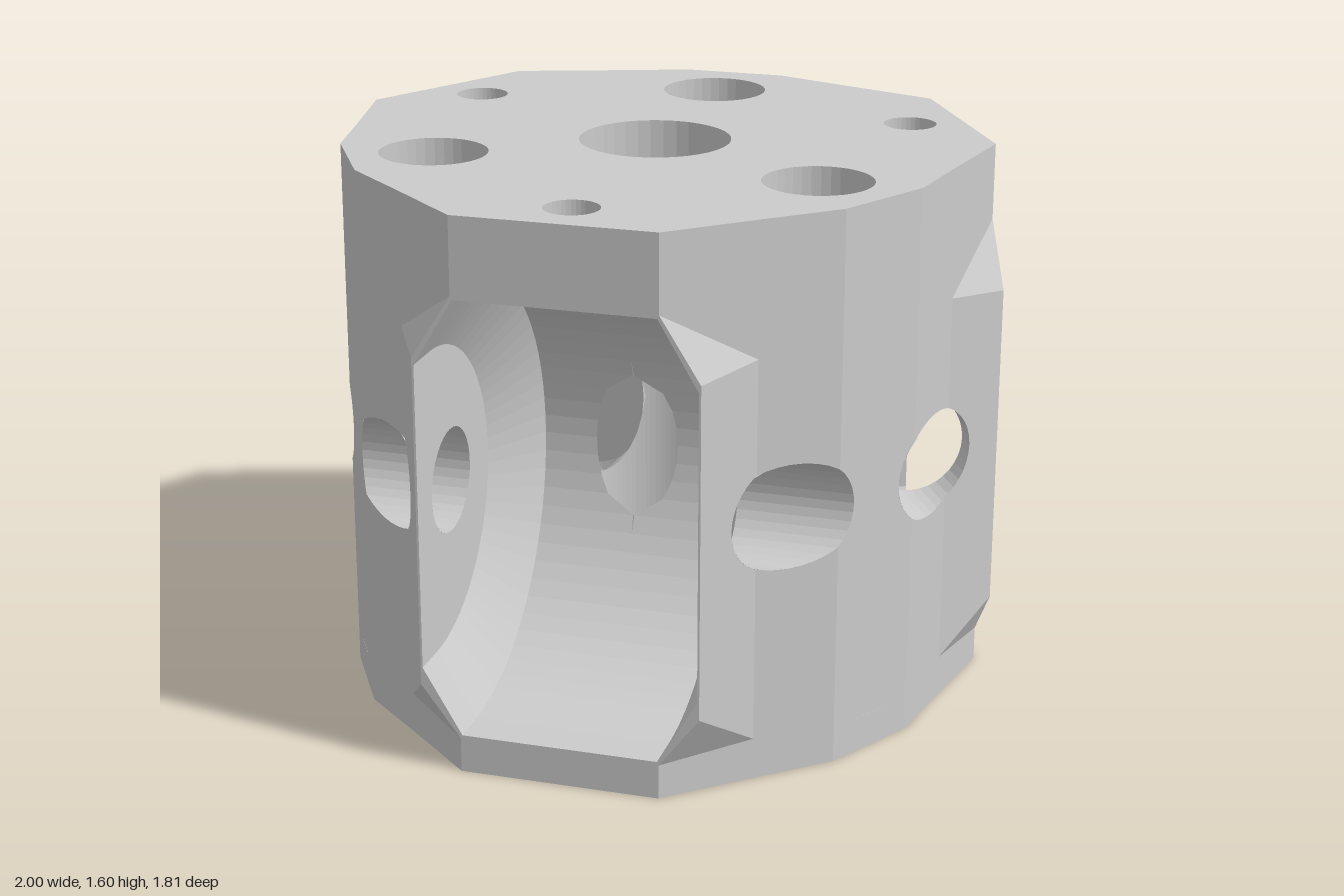
import * as THREE from 'three';

// Block with three wheel pockets. Each pocket is built facing +z, then turned.
// Local points are (t, y, d): t across the pocket, d outward from the centre.
const H = 1.6, LOW = 0.1, TOP = 1.38;            // block height, plate edges
const F = 0.925, FIN = 0.398, FLAT = 0.285;      // pocket mouth
const CY = 0.74, CD = 0.81, R1 = 0.44, R = 0.63; // wheel cavity
const S1 = 0.392, S2 = 0.28;                     // cavity half widths: hub, floor
const AY = 0.76, AD = 0.67, AR = 0.15;           // axle bore
const BORE = 0.218;                              // central bore
const BODY = [0.5, 0.735], LOBE = [0.689, 0.572];
const ANGLES = [Math.PI / 3, Math.PI, -Math.PI / 3];

const mat = new THREE.MeshStandardMaterial({
  color: 0xcccccc, flatShading: true, side: THREE.DoubleSide,
});
const lerp = THREE.MathUtils.lerp;
const half = (r, x) => Math.sqrt(Math.max(0, r * r - x * x));
const span = (n, f) => Array.from({ length: n + 1 }, (_, i) => f(i / n));

// Collects triangles and quads into one mesh
class Surface {
  constructor(name) { this.name = name; this.v = []; }
  tri(a, b, c) { this.v.push(...a, ...b, ...c); }
  quad(a, b, c, d) { this.tri(a, b, c); this.tri(a, c, d); }
  // strip between two rows of points
  loft(p, q) {
    for (let i = 0; i + 1 < p.length; i++) this.quad(p[i], p[i + 1], q[i + 1], q[i]);
  }
  // upright wall with an opening: columns of {t, d, lo, hi, c, h}
  wall(cols) {
    const row = f => cols.map(k => [k.t, f(k), k.d]);
    this.loft(row(k => k.lo), row(k => k.c - k.h));
    this.loft(row(k => k.c + k.h), row(k => k.hi));
  }
  mesh() {
    const g = new THREE.BufferGeometry();
    g.setAttribute('position', new THREE.Float32BufferAttribute(this.v, 3));
    g.computeVertexNormals();
    const m = new THREE.Mesh(g, mat);
    m.name = this.name;
    return m;
  }
}

// Outer wall position across the pocket as a function of d
const outerLine = [[0.764, 0.441], LOBE, BODY, [FIN, F]];
function outerT(d) {
  let i = 0;
  while (i < 2 && d > outerLine[i + 1][1]) i++;
  const [a, b] = [outerLine[i], outerLine[i + 1]];
  return lerp(a[0], b[0], (d - a[1]) / (b[1] - a[1]));
}

// Sample positions in d, dense around the axle bore
function samples(from, to, extra = []) {
  const bore = span(24, u => AD - AR * Math.cos(u * Math.PI));
  return [from, to, ...extra, ...bore].filter(d => d >= from && d <= to).sort((a, b) => a - b);
}
const boreCol = (d, t, lo, hi) => ({ d, t, lo, hi, c: AY, h: half(AR, d - AD) });

// Cavity edge: straight in from the mouth, around the back, out again
const cavityPath = r => [
  [CY + r, F],
  ...span(36, u => {
    const a = Math.PI * (0.5 - u);
    return [CY + r * Math.sin(a), CD - r * Math.cos(a)];
  }),
  [CY - r, F],
];

function createPocket() {
  const shell = new Surface('lobeWall'), cavity = new Surface('wheelCavity');
  const axle = new Surface('axleBore'), rim = new Surface('pocketRim');
  const centre = new Surface('centralBoreWall');

  for (const s of [-1, 1]) {
    // Outside of the lobe and the fin beside the mouth
    const [bt, bd] = BODY;
    shell.wall(samples(0.441, bd, [LOBE[1]]).map(d => boreCol(d, s * outerT(d), LOW, TOP)));
    shell.wall(samples(bd, F).map(d => {
      const u = (d - bd) / (F - bd);
      return boreCol(d, s * outerT(d), lerp(0.12, 0.25, u), lerp(1.22, 1.2, u));
    }));
    for (const [yFin, yBody, yFlat] of [[1.2, 1.22, TOP], [0.25, 0.12, LOW]]) {
      const body = [s * bt, yBody, bd], flat = [s * FLAT, yFlat, F];
      shell.tri([s * FIN, yFin, F], body, flat);
      shell.tri(body, [s * bt, yFlat, bd], flat);
    }

    // Flat cavity side with the axle opening
    cavity.wall(samples(CD - R1, F, [CD, ...span(24, u => CD - R1 * Math.cos(u * Math.PI / 2))])
      .map(d => {
        const h = d < CD ? half(R1, d - CD) : R1;
        return boreCol(d, s * S1, CY - h, CY + h);
      }));
    // Sloping shoulder and rounded floor, open where it meets the central bore
    const edge = cavityPath(R).map(([y, d]) => [s * S2, y, d]);
    cavity.loft(cavityPath(R1).map(([y, d]) => [s * S1, y, d]), edge);
    cavity.loft(edge, edge.map(([, y, d]) => [s * half(BORE, d), y, d]));

    // Axle bore through the lobe
    const ring = span(36, u => [AY + AR * Math.sin(u * 2 * Math.PI), AD + AR * Math.cos(u * 2 * Math.PI)]);
    axle.loft(ring.map(([y, d]) => [s * S1, y, d]), ring.map(([y, d]) => [s * outerT(d), y, d]));
  }

  // Narrow rim around the mouth
  const loop = (a, y0, y1, b, z0, z1) => [
    [a, y0], [a, y1], [b, z1], [-b, z1], [-a, y1], [-a, y0], [-b, z0], [b, z0], [a, y0],
  ].map(([t, y]) => [t, y, F]);
  rim.loft(loop(FIN, 0.25, 1.2, FLAT, LOW, TOP), loop(S1, CY - R1, CY + R1, S2, CY - R, CY + R));

  // One third of the central bore, broken by the cavity
  centre.wall(span(30, u => {
    const a = (u - 0.5) * Math.PI * 2 / 3, d = BORE * Math.cos(a);
    return { d, t: BORE * Math.sin(a), lo: LOW, hi: TOP, c: CY, h: half(R, CD - d) };
  }));

  // Upright bore in the lobe opposite this pocket
  const upright = new THREE.Mesh(
    new THREE.CylinderGeometry(0.155, 0.155, TOP - LOW, 36, 1, true), mat);
  upright.position.set(0, (TOP + LOW) / 2, -0.64);
  upright.name = 'uprightBore';

  const g = new THREE.Group();
  g.add(upright, ...[shell, cavity, axle, rim, centre].map(p => p.mesh()));
  return g;
}

// End plate with its outline and drilled holes
function createPlate(name, y0, y1, withPins) {
  const turn = (t, d, a) => new THREE.Vector2(
    t * Math.cos(a) + d * Math.sin(a), t * Math.sin(a) - d * Math.cos(a));
  const side = [LOBE, BODY, [FLAT, F]];
  const profile = [...side.map(([t, d]) => [-t, d]), ...side.slice().reverse()];
  const shape = new THREE.Shape(ANGLES.flatMap(a => profile.map(([t, d]) => turn(t, d, a))));
  const drill = (p, r) => shape.holes.push(new THREE.Path(
    span(36, u => new THREE.Vector2(
      p.x + r * Math.cos(u * 2 * Math.PI), p.y - r * Math.sin(u * 2 * Math.PI))).slice(0, -1)));
  drill(new THREE.Vector2(), BORE);
  for (const a of ANGLES) {
    drill(turn(0, -0.64, a), 0.155);
    if (withPins) drill(turn(0, 0.765, a), 0.077);
  }
  const geo = new THREE.ExtrudeGeometry(shape, { depth: y1 - y0, bevelEnabled: false });
  geo.rotateX(-Math.PI / 2).translate(0, y0, 0);
  const m = new THREE.Mesh(geo, mat);
  m.name = name;
  return m;
}

export function createModel() {
  const model = new THREE.Group();
  model.name = 'wheelBlock';
  const block = new THREE.Group();
  block.name = 'block';
  block.position.z = 0.015;
  block.add(createPlate('bottomPlate', 0, LOW, false), createPlate('topPlate', TOP, H, true));
  const names = ['leftPocket', 'backPocket', 'rightPocket'];
  const pocket = createPocket();
  ANGLES.forEach((a, i) => {
    const p = pocket.clone();
    p.name = names[i];
    p.rotation.y = a;
    block.add(p);
  });
  model.add(block);
  return model;
}
